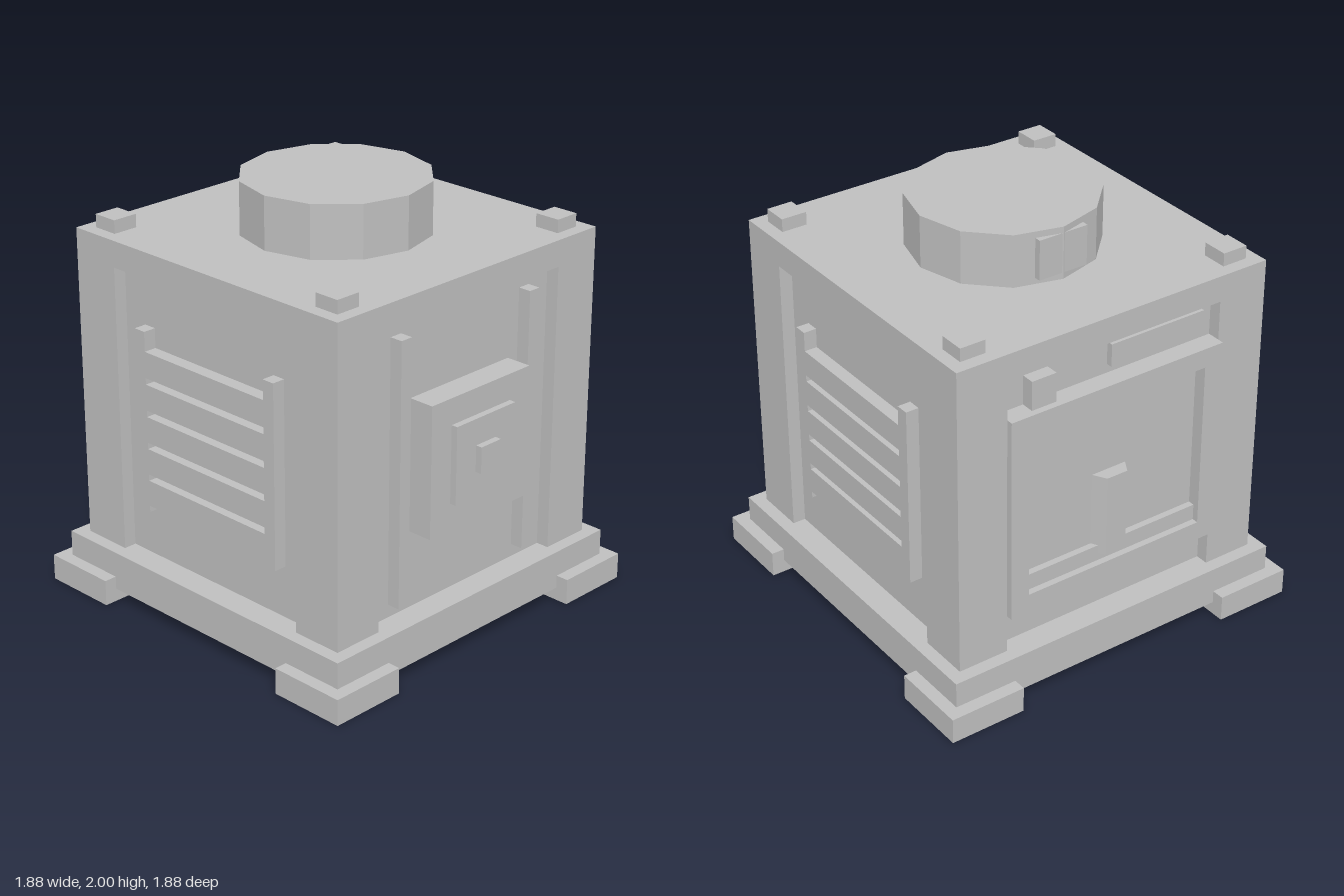
import * as THREE from 'three';

export function createModel() {
  const model = new THREE.Group();
  model.name = 'machineBlock';
  const grey = new THREE.MeshStandardMaterial({ color: 0xbfbfbf });
  grey.name = 'plainGrey';

  const add = (name, geometry, parent = model) => {
    const mesh = new THREE.Mesh(geometry, grey);
    mesh.name = name;
    parent.add(mesh);
    return mesh;
  };
  // Box given by its lower and upper limits on each axis
  const box = (name, x0, x1, y0, y1, z0, z1, parent = model) => {
    const mesh = add(name, new THREE.BoxGeometry(x1 - x0, y1 - y0, z1 - z0), parent);
    mesh.position.set((x0 + x1) / 2, (y0 + y1) / 2, (z0 + z1) / 2);
    return mesh;
  };
  const group = (name) => {
    const g = new THREE.Group();
    g.name = name;
    model.add(g);
    return g;
  };

  const OUT = 0.8125, IN = 0.75; // outer wall and recessed wall

  // Base, core and roof
  box('base', -0.875, 0.875, 0.0625, 0.25, -0.875, 0.875);
  box('core', -IN, IN, 0.25, 1.625, -IN, IN);
  box('roof', -OUT, OUT, 1.625, 1.75, -OUT, OUT);

  // Feet, corner posts and roof studs
  for (const sx of [-1, 1]) for (const sz of [-1, 1]) {
    const corner = (name, lo, hi, y0, y1) => {
      const c = (lo + hi) / 2, h = (hi - lo) / 2;
      box(name, sx * c - h, sx * c + h, y0, y1, sz * c - h, sz * c + h);
    };
    corner('foot', 0.5625, 0.9375, 0, 0.125);
    corner('cornerPost', 0.5625, OUT, 0.25, 1.625);
    corner('roofStud', 0.625, 0.75, 1.75, 1.8125);
  }

  // Chimney with a small plate at the back
  const chimney = add('chimney', new THREE.CylinderGeometry(0.4375, 0.4375, 0.25, 12).toNonIndexed());
  chimney.geometry.computeVertexNormals();
  chimney.position.y = 1.875;
  box('chimneyPlate', -0.125, 0.125, 1.78, 1.97, -0.436, -0.35);

  // Front: two rails and a stepped plate with a knob
  const front = group('frontPanel');
  for (const s of [-1, 1])
    box('frontRail', s * 0.40625 - 0.03125, s * 0.40625 + 0.03125, 0.3125, 1.5625, IN, OUT, front);
  box('frontPlate', -0.3125, 0.3125, 0.625, 1.25, IN, 0.875, front);
  box('frontInnerPlate', -0.1875, 0.1875, 0.755, 1.125, 0.875, 0.90625, front);
  box('frontKnob', -0.0625, 0.0625, 0.875, 1, 0.90625, 0.9375, front);

  // Sides: slatted vents between two rails
  for (const s of [-1, 1]) {
    const vent = group('sideVent');
    const x0 = s > 0 ? IN : -OUT, x1 = s > 0 ? OUT : -IN;
    for (const z of [-0.40625, 0.40625])
      box('ventRail', x0, x1, 0.5, 1.375, z - 0.03125, z + 0.03125, vent);
    for (let i = 0; i < 5; i++) {
      const y = 0.53125 + i * 0.15625;
      box('ventSlat', x0, x1, y, y + 0.125, -0.375, 0.375, vent);
    }
  }

  // Back: framed hatch with a sill and a six-sided spout
  const hatch = group('backHatch');
  const frame = new THREE.Shape();
  frame.moveTo(-0.5625, 0.4375).lineTo(0.5625, 0.4375).lineTo(0.5625, 1.4375).lineTo(-0.5625, 1.4375);
  const opening = new THREE.Path();
  opening.moveTo(-0.46875, 0.53125).lineTo(-0.46875, 1.34375).lineTo(0.46875, 1.34375).lineTo(0.46875, 0.53125);
  frame.holes.push(opening);
  add('hatchFrame', new THREE.ExtrudeGeometry(frame, { depth: 0.09375, bevelEnabled: false }), hatch)
    .position.z = -0.84375;
  box('hatchPanel', -0.46875, 0.46875, 0.53125, 1.34375, -0.78125, -IN, hatch);
  box('hatchSill', -0.46875, 0.46875, 0.53125, 0.61, -0.8125, -IN, hatch);
  const spout = new THREE.CylinderGeometry(0.108, 0.108, 0.4, 6).toNonIndexed();
  spout.computeVertexNormals();
  spout.rotateY(Math.PI / 6);
  const spoutMesh = add('hatchSpout', spout, hatch);
  spoutMesh.position.set(0, 0.77, -IN);

  // Fittings above the hatch
  box('backButton', 0.3125, 0.4375, 1.4375, 1.5775, -OUT, -IN, hatch);
  box('backBar', -0.5, 0, 1.48, 1.59, -0.78125, -IN, hatch);

  return model;
}
